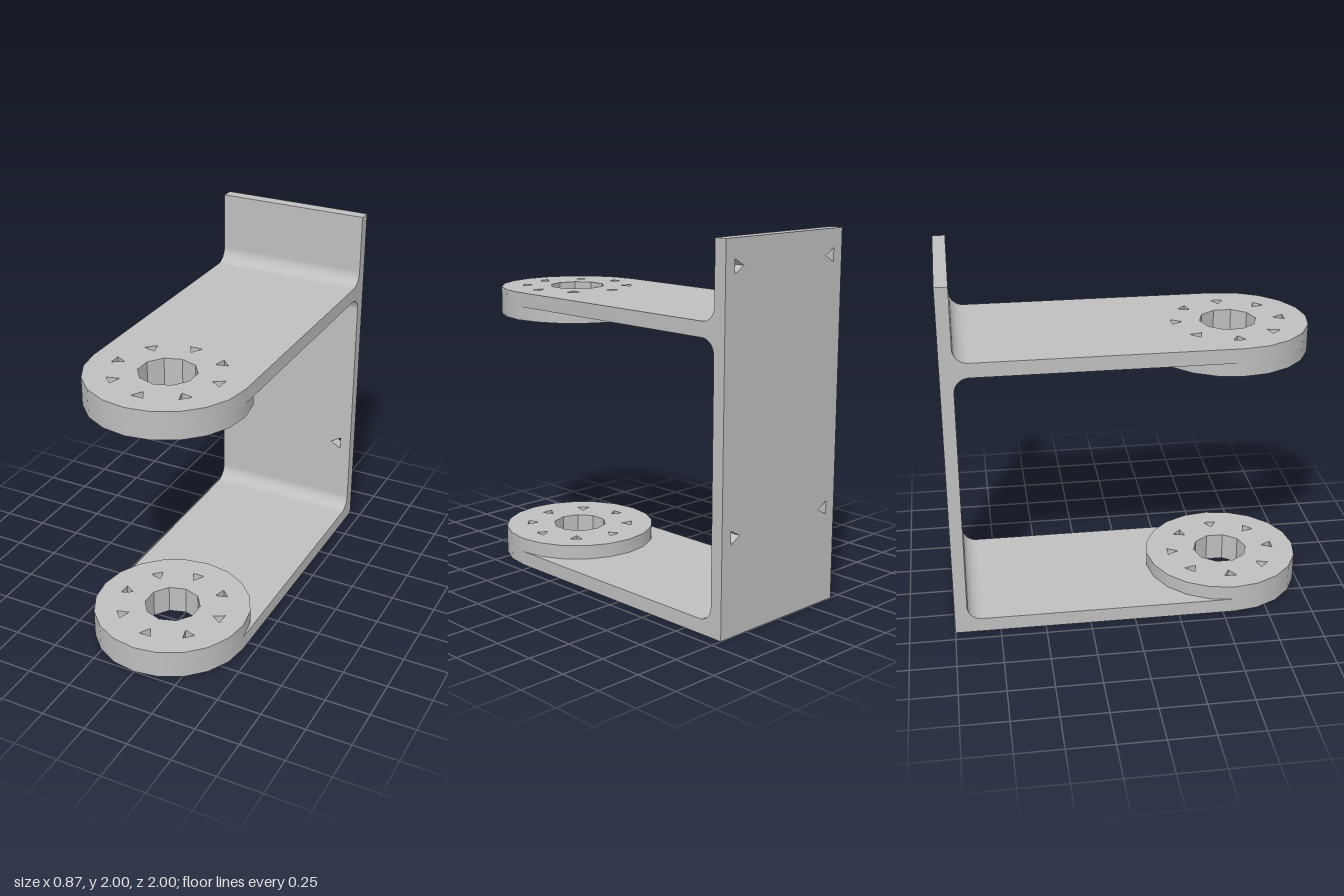
import * as THREE from 'three';
import { toCreasedNormals } from 'three/addons/utils/BufferGeometryUtils.js';

const W = 0.435;                 // half width and disc radius
const CZ = 0.565;                // z of the disc centre
const BACK = -1, FACE = -0.93;   // back plate surfaces
const ARM = 0.08, FILLET = 0.08;

const metal = new THREE.MeshStandardMaterial({ color: 0xbfbfbf });
metal.name = 'greyMetal';

// Regular polygon path whose first corner lies at the given angle
function polygon(PathType, cx, cy, radius, sides, start = 0) {
  const points = [];
  for (let i = 0; i < sides; i++) {
    const a = start + (i / sides) * Math.PI * 2;
    points.push(new THREE.Vector2(cx + radius * Math.cos(a), cy + radius * Math.sin(a)));
  }
  return new PathType(points);
}

function extrude(shape, depth) {
  const geometry = new THREE.ExtrudeGeometry(shape, { depth, bevelEnabled: false, curveSegments: 8 });
  return toCreasedNormals(geometry, 0.5);
}

// Centre bore and ring of eight three-sided screw holes
function addBearingHoles(shape) {
  shape.holes.push(polygon(THREE.Path, 0, CZ, 0.155, 10, Math.PI / 10));
  for (let i = 0; i < 8; i++) {
    const a = (i * Math.PI) / 4;
    shape.holes.push(polygon(THREE.Path, 0.29 * Math.cos(a), CZ + 0.29 * Math.sin(a), 0.04, 3, a + Math.PI));
  }
  return shape;
}

// Arm outline in x and z, rounded at the front end
function armShape() {
  const points = [new THREE.Vector2(-W, FACE), new THREE.Vector2(W, FACE)];
  for (let i = 0; i <= 10; i++) {
    const a = (i * Math.PI) / 10;
    points.push(new THREE.Vector2(W * Math.cos(a), CZ + W * Math.sin(a)));
  }
  return addBearingHoles(new THREE.Shape(points));
}

// Rectangular plate outline with pairs of screw holes at the given heights
function plateShape(heights) {
  const shape = new THREE.Shape([
    new THREE.Vector2(-W, 0), new THREE.Vector2(W, 0),
    new THREE.Vector2(W, 2), new THREE.Vector2(-W, 2),
  ]);
  for (const y of heights) {
    for (const side of [-1, 1]) {
      shape.holes.push(polygon(THREE.Path, side * 0.35, y, 0.042, 3, side > 0 ? Math.PI : 0));
    }
  }
  return shape;
}

export function createModel() {
  const group = new THREE.Group();
  const add = (name, geometry) => {
    const mesh = new THREE.Mesh(geometry, metal);
    mesh.name = name;
    group.add(mesh);
  };

  // Lays an x-z outline flat between two heights
  const addFlat = (name, shape, bottom, top) =>
    add(name, extrude(shape, top - bottom).rotateX(Math.PI / 2).translate(0, top, 0));

  // Back plate: lower holes go through, upper holes are blind
  const skin = 0.02;
  add('backPlate', extrude(plateShape([0.525, 1.865]), FACE - BACK - skin).translate(0, 0, BACK));
  add('backPlateFront', extrude(plateShape([0.525]), skin).translate(0, 0, FACE - skin));

  // Arms with their thickened bearing discs
  const disc = () => addBearingHoles(polygon(THREE.Shape, 0, CZ, W, 20));
  addFlat('lowerArm', armShape(), 0, ARM);
  addFlat('lowerDisc', disc(), ARM, 0.16);
  addFlat('upperArm', armShape(), 1.515, 1.595);
  addFlat('upperDisc', disc(), 1.44, 1.515);

  // Concave fillets where the arms meet the plate
  const addFillet = (name, y, dir) => {
    const r = FILLET, shape = new THREE.Shape();
    shape.moveTo(0, 0);
    shape.lineTo(r, 0);
    shape.absarc(r, dir * r, r, -dir * Math.PI / 2, -dir * Math.PI, dir > 0);
    add(name, extrude(shape, 2 * W).rotateY(-Math.PI / 2).translate(W, y, FACE));
  };
  addFillet('lowerFillet', ARM, 1);
  addFillet('upperArmUnderFillet', 1.515, -1);
  addFillet('upperArmTopFillet', 1.595, 1);

  return group;
}
